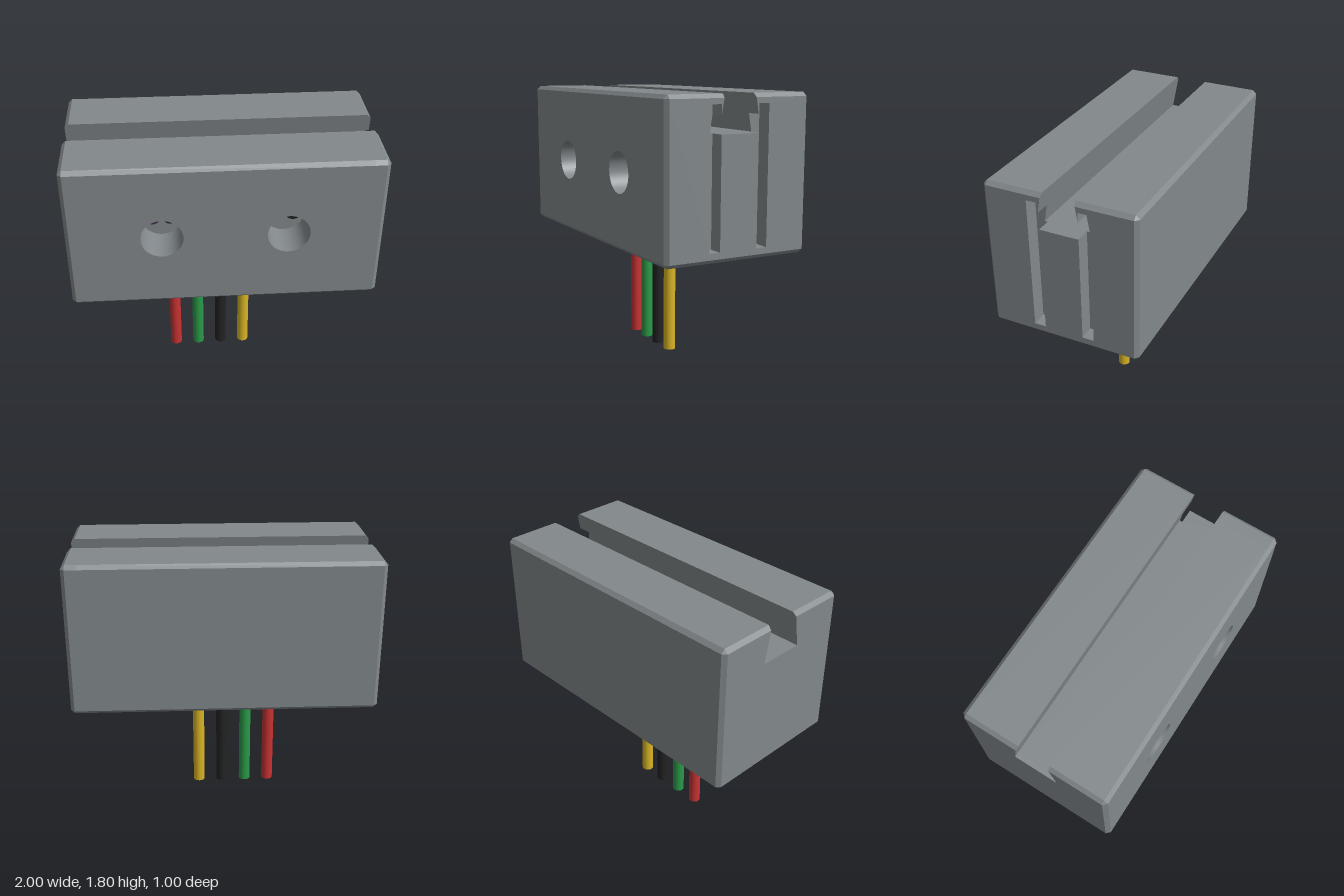
import * as THREE from 'three';
import { mergeGeometries } from 'three/addons/utils/BufferGeometryUtils.js';

const BOTTOM = 0.8, TOP = 1.8, HALF_Z = 0.5, CH = 0.025;
const SLOT_Y = 1.565, SLOT_Z = 0.148;
const GROOVE = { z0: 0.129, z1: 0.205, y0: 0.865, y1: 1.74, x: 0.9 };
const HOLE = { r: 0.135, y: 1.3, depth: 0.25, xs: [-0.4, 0.4] };

// Half width of the dovetail slot at a height, and the height for a half width
const slope = (0.108 - SLOT_Z) / (TOP - SLOT_Y);
const slotZ = (y) => SLOT_Z + slope * (y - SLOT_Y);
const slotYAt = (z) => SLOT_Y + (z - SLOT_Z) / slope;

// Closed [z, y] section; c = 0 for the full section, c = CH for the end face
function section(c, grooved) {
  const { z0, z1, y0, y1 } = GROOVE;
  const inner = grooved
    ? [[z0, SLOT_Y], [z0, y0], [z1, y0], [z1, y1], [z0, y1], [z0, slotYAt(z0)]]
    : [[SLOT_Z, SLOT_Y]];
  const half = [
    ...inner,
    [slotZ(TOP - c), TOP - c],
    [HALF_Z - CH, TOP - c],
    [HALF_Z - c, TOP - CH],
    [HALF_Z - c, BOTTOM + CH],
    [HALF_Z - CH, BOTTOM + c],
  ];
  return [...half, ...half.map(([z, y]) => [-z, y]).reverse()];
}

// Skin between two matching sections, leaving the front face open
function loft(a, xa, b, xb) {
  const pos = [];
  a.forEach((p, i) => {
    const j = (i + 1) % a.length;
    if ([p, a[j], b[i], b[j]].every(([z]) => z === HALF_Z)) return;
    const A = [xa, p[1], p[0]], B = [xa, a[j][1], a[j][0]];
    const C = [xb, b[j][1], b[j][0]], D = [xb, b[i][1], b[i][0]];
    pos.push(...A, ...B, ...C, ...A, ...C, ...D);
  });
  const g = new THREE.BufferGeometry();
  g.setAttribute('position', new THREE.Float32BufferAttribute(pos, 3));
  g.computeVertexNormals();
  return g;
}

// Flat face from [z, y] points at a given x, facing along side * x
function endFace(points, x, side) {
  const shape = new THREE.Shape(points.map(([z, y]) => new THREE.Vector2(-side * z, y)));
  return new THREE.ShapeGeometry(shape).rotateY(side * Math.PI / 2).translate(x, 0, 0);
}

function frontFace() {
  const x = 1 - CH, y0 = BOTTOM + CH, y1 = TOP - CH;
  const shape = new THREE.Shape([[-x, y0], [x, y0], [x, y1], [-x, y1]].map((p) => new THREE.Vector2(...p)));
  for (const hx of HOLE.xs) {
    shape.holes.push(new THREE.Path().absarc(hx, HOLE.y, HOLE.r, 0, Math.PI * 2, true));
  }
  return new THREE.ShapeGeometry(shape, 24).translate(0, 0, HALF_Z);
}

function bodyGeometry() {
  const full = section(0, false), end = section(CH, false);
  const fullG = section(0, true), endG = section(CH, true);
  const { z0, z1, y0, y1, x } = GROOVE;
  const grooveBack = [
    [z0, y0], [z1, y0], [z1, y1], [z0, y1],
    [z0, slotYAt(z0)], [SLOT_Z, SLOT_Y], [z0, SLOT_Y],
  ];
  const parts = [
    loft(end, -1, full, -1 + CH),
    loft(full, -1 + CH, full, x),
    loft(fullG, x, fullG, 1 - CH),
    loft(fullG, 1 - CH, endG, 1),
    endFace(end, -1, -1),
    endFace(endG, 1, 1),
    endFace(grooveBack, x, 1),
    endFace(grooveBack.map(([z, y]) => [-z, y]), x, 1),
    frontFace(),
  ].map((g) => {
    const n = g.index ? g.toNonIndexed() : g;
    n.deleteAttribute('uv');
    return n;
  });
  return mergeGeometries(parts);
}

export function createModel() {
  const model = new THREE.Group();
  model.name = 'sensorBlock';
  const mat = (color, side = THREE.FrontSide) => new THREE.MeshStandardMaterial({ color, side });
  const add = (name, geometry, material, parent = model) => {
    const m = new THREE.Mesh(geometry, material);
    m.name = name;
    parent.add(m);
    return m;
  };
  const grey = mat(0x82888b), greyInside = mat(0x82888b, THREE.DoubleSide);
  const purple = mat(0x40284e), black = mat(0x1f1f1f);

  // Chamfered housing with dovetail slot and end grooves
  add('housing', bodyGeometry(), grey);

  // Blind round holes, each with an emitter and a detector on its floor
  HOLE.xs.forEach((hx, i) => {
    const hole = new THREE.Group();
    hole.name = i ? 'leftSensorHole' : 'rightSensorHole';
    hole.position.set(hx, HOLE.y, HALF_Z - HOLE.depth);
    model.add(hole);
    const wall = new THREE.CylinderGeometry(HOLE.r, HOLE.r, HOLE.depth, 48, 1, true);
    add('holeWall', wall.rotateX(Math.PI / 2).translate(0, 0, HOLE.depth / 2), greyInside, hole);
    add('holeFloor', new THREE.CircleGeometry(HOLE.r, 48), grey, hole);
    const eye = new THREE.CylinderGeometry(0.054, 0.054, 0.01, 32).rotateX(Math.PI / 2);
    add('emitter', eye, purple, hole).position.x = -0.06;
    add('detector', eye, black, hole).position.x = 0.06;
  });

  // Four wires hanging from the underside
  const wires = { redWire: 0xc83232, greenWire: 0x2a9a48, blackWire: 0x222222, yellowWire: 0xd8b424 };
  Object.entries(wires).forEach(([name, color], i) => {
    const wire = new THREE.CylinderGeometry(0.04, 0.04, BOTTOM + 0.01, 24);
    add(name, wire, mat(color)).position.set((i - 2) / 6, (BOTTOM + 0.01) / 2, 0);
  });

  return model;
}
